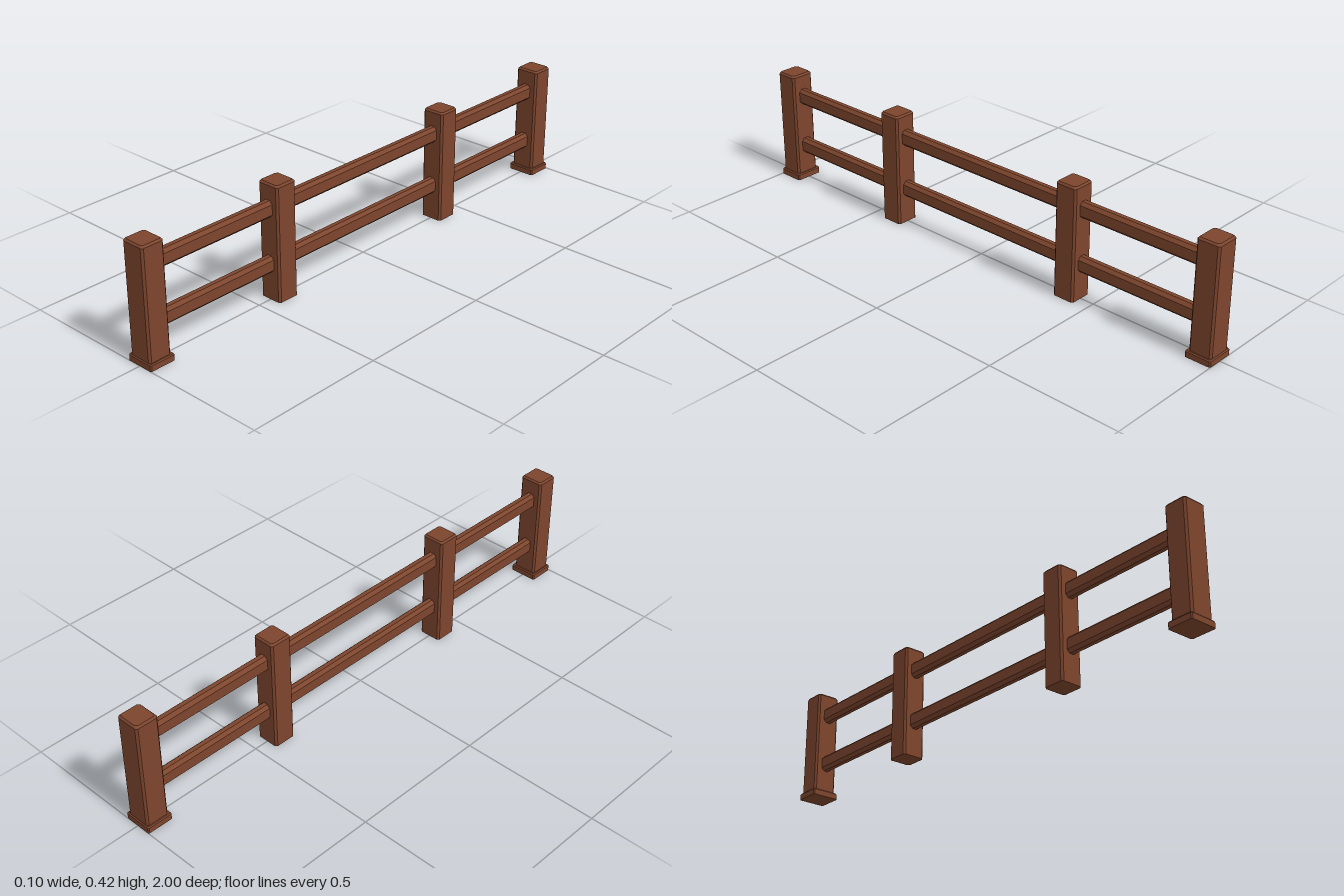
import * as THREE from 'three';
import { ConvexGeometry } from 'three/addons/geometries/ConvexGeometry.js';

const wood = new THREE.MeshStandardMaterial({ color: 0x7d452d });
wood.name = 'brown wood';

// Box standing on y = 0 with chamfered upright and top edges and a flat underside
function chamferedBox(w, h, d, c) {
  const points = [];
  const ring = (y, inset) => {
    const x = w / 2 - inset, z = d / 2 - inset;
    for (const sx of [-1, 1]) for (const sz of [-1, 1]) {
      points.push(new THREE.Vector3(sx * x, y, sz * (z - c)));
      points.push(new THREE.Vector3(sx * (x - c), y, sz * z));
    }
  };
  ring(0, 0);
  ring(h - c, 0);
  ring(h, c * 0.8);
  return new ConvexGeometry(points);
}

// Beam along z with an eight-sided cross-section
function railGeometry(w, h, length, c) {
  const points = [];
  for (const sx of [-1, 1]) for (const sy of [-1, 1]) for (const sz of [-1, 1]) {
    points.push(new THREE.Vector3(sx * w / 2, sy * (h / 2 - c), sz * length / 2));
    points.push(new THREE.Vector3(sx * (w / 2 - c), sy * h / 2, sz * length / 2));
  }
  return new ConvexGeometry(points);
}

export function createModel() {
  const fence = new THREE.Group();
  fence.name = 'fence';

  const add = (name, geometry, y, z) => {
    const mesh = new THREE.Mesh(geometry, wood);
    mesh.name = name;
    mesh.position.set(0, y, z);
    fence.add(mesh);
  };

  const endPost = chamferedBox(0.09, 0.42, 0.085, 0.007);
  const middlePost = chamferedBox(0.086, 0.42, 0.084, 0.007);
  const foot = chamferedBox(0.105, 0.024, 0.096, 0.004);
  const rail = railGeometry(0.038, 0.059, 1.9, 0.011);

  // Posts, mirrored front to back; only the end posts have a foot
  for (const side of [1, -1]) {
    const prefix = side > 0 ? 'front' : 'back';
    add(prefix + 'EndPost', endPost, 0, side * 0.954);
    add(prefix + 'Foot', foot, 0, side * 0.952);
    add(prefix + 'MiddlePost', middlePost, 0, side * 0.405);
  }

  // Two long rails running through the posts
  add('lowerRail', rail, 0.133, 0);
  add('upperRail', rail, 0.332, 0);

  return fence;
}
